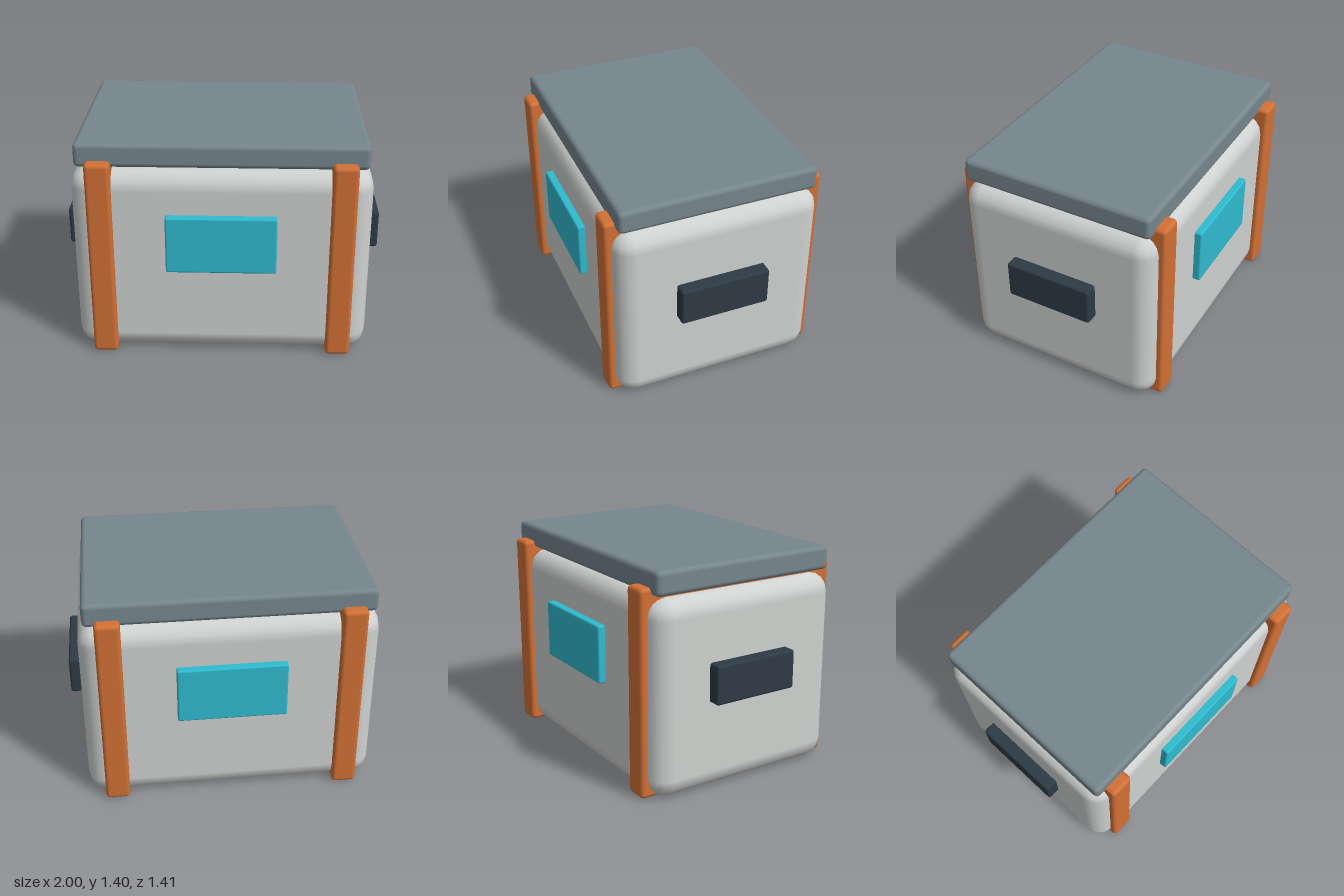
import * as THREE from 'three';
import { RoundedBoxGeometry } from 'three/addons/geometries/RoundedBoxGeometry.js';

const material = (name, color) => {
  const m = new THREE.MeshStandardMaterial({ color });
  m.name = name;
  return m;
};

export function createModel() {
  const model = new THREE.Group();
  model.name = 'storageCrate';

  const shell = material('lightGrey', 0xcfd2d0);
  const slate = material('slateGrey', 0x76868d);
  const orange = material('orange', 0xd27035);
  const cyan = material('cyan', 0x2fbbd0);
  const dark = material('darkNavy', 0x2d3b46);

  // Rounded block given by its lower and upper corners
  function block(name, mat, min, max, radius, segments) {
    const [w, h, d] = max.map((v, i) => v - min[i]);
    const mesh = new THREE.Mesh(new RoundedBoxGeometry(w, h, d, segments, radius), mat);
    mesh.position.set(...max.map((v, i) => (v + min[i]) / 2));
    mesh.name = name;
    model.add(mesh);
  }

  // Main container and its lid
  block('body', shell, [-0.92, 0, -0.655], [0.92, 1.235, 0.655], 0.125, 2);
  block('lid', slate, [-0.885, 1.25, -0.625], [0.885, 1.4, 0.625], 0.03, 2);

  for (const s of [1, -1]) {
    const side = s > 0 ? 'left' : 'right';
    // Straps run right through the body, showing at front, back and top
    const x = 0.738 * s;
    block(side + 'Strap', orange, [x - 0.077, 0.004, -0.693], [x + 0.077, 1.295, 0.693], 0.025, 2);
    // End handles
    const h = 0.94 * s;
    block(side + 'Handle', dark, [h - 0.06, 0.575, -0.285], [h + 0.06, 0.82, 0.285], 0.015, 2);
    // Front and back panels
    const z = 0.67 * s;
    block(s > 0 ? 'frontPanel' : 'backPanel', cyan, [-0.34, 0.59, z - 0.033], [0.34, 0.96, z + 0.033], 0.012, 2);
  }
  return model;
}
